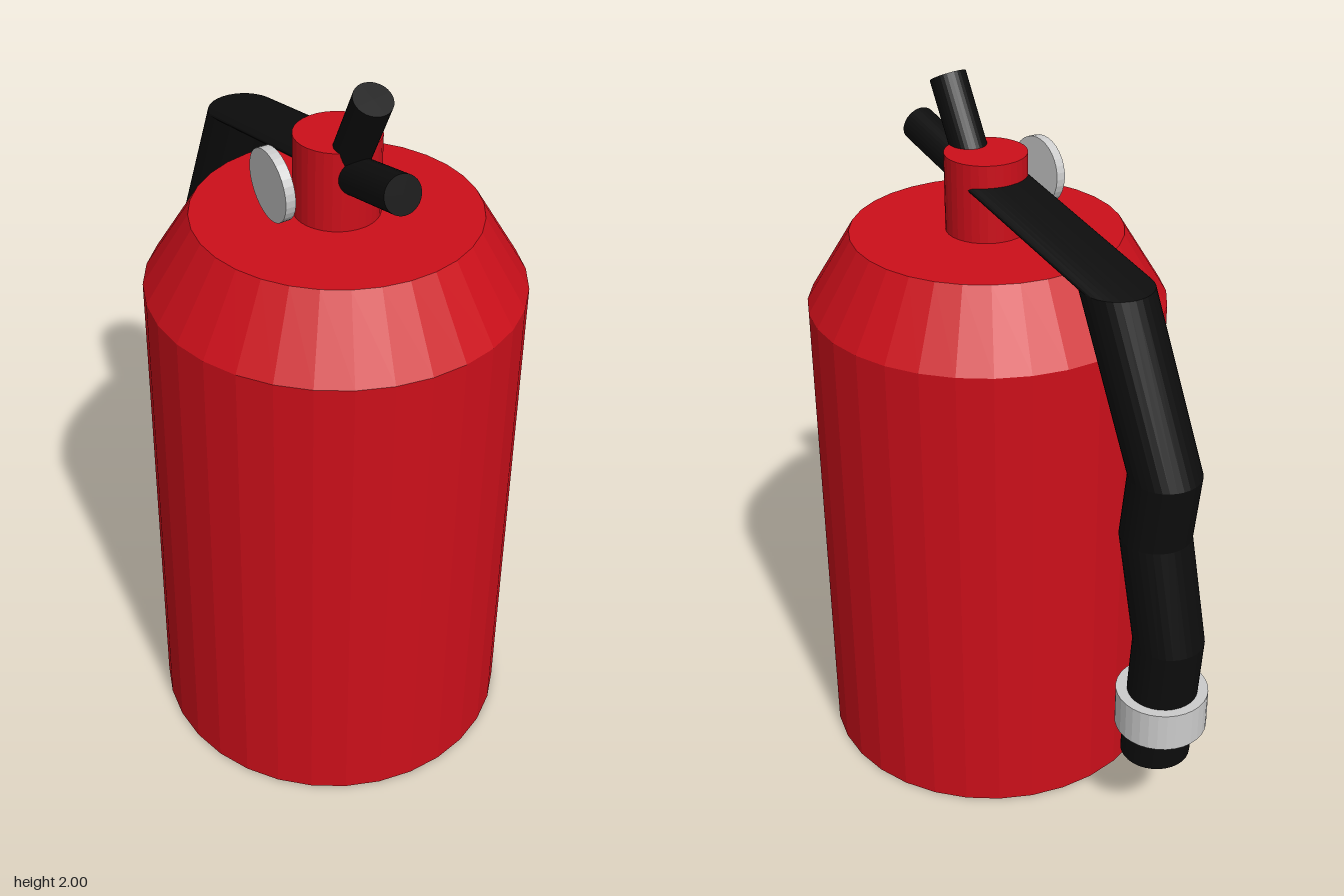
import * as THREE from 'three';

const material = (color) => new THREE.MeshStandardMaterial({ color, flatShading: true });

export function createModel() {
  const group = new THREE.Group();
  const red = material(0xcc0f1a);
  const black = material(0x0d0d0d);
  const grey = material(0xcccccc);
  const axisZ = 0.19; // the tank stands forward of the hose

  const add = (name, geometry, mat, x = 0, y = 0, z = 0) => {
    const mesh = new THREE.Mesh(geometry, mat);
    mesh.name = name;
    mesh.position.set(x, y, z);
    group.add(mesh);
    return mesh;
  };

  // Tank with a tapered shoulder and flat ends
  const profile = [[0, 0], [0.496, 0], [0.496, 1.4], [0.373, 1.6], [0, 1.6]]
    .map(([r, y]) => new THREE.Vector2(r, y));
  add('tank', new THREE.LatheGeometry(profile, 32), red, 0, 0, axisZ);

  // Valve on top of the tank
  add('valve', new THREE.CylinderGeometry(0.112, 0.112, 0.225, 32), red, 0, 1.7025, axisZ);

  // Round bars running from inside the valve to their free ends
  const bar = (name, from, to) => {
    const a = new THREE.Vector3(...from);
    const b = new THREE.Vector3(...to);
    const dir = b.clone().sub(a);
    const mesh = add(name, new THREE.CylinderGeometry(0.05, 0.05, dir.length(), 32), black);
    mesh.position.copy(a).lerp(b, 0.5);
    mesh.quaternion.setFromUnitVectors(new THREE.Vector3(0, 1, 0), dir.normalize());
  };
  bar('upperLever', [0, 1.70, 0.213], [0, 1.977, 0.36]);
  bar('lowerLever', [0, 1.725, 0.22], [0, 1.803, 0.51]);

  // Pressure gauge disc beside the valve, slightly tilted
  const gauge = add('gauge', new THREE.CylinderGeometry(0.095, 0.095, 0.027, 32).rotateZ(Math.PI / 2),
    grey, -0.181, 1.72, 0.197);
  gauge.rotation.set(0, 0.03, 0.055);

  // Hose: a cylinder whose level rings are shifted along a bent path
  const path = [
    [0, 1.756, 0.18], [0, 1.63, -0.36], [-0.027, 1.165, -0.54],
    [-0.025, 0.973, -0.517], [-0.031, 0.668, -0.581], [-0.035, 0.265, -0.544],
  ];
  const rows = path.length - 1;
  const hose = new THREE.CylinderGeometry(0.097, 0.097, rows, 32, rows);
  const p = hose.attributes.position;
  for (let i = 0; i < p.count; i++) {
    const [x, y, z] = path[Math.round(rows / 2 - p.getY(i))];
    p.setXYZ(i, p.getX(i) + x, y, p.getZ(i) + z);
  }
  hose.computeVertexNormals();
  add('hose', hose, black);

  // Collar near the nozzle end
  add('hoseCollar', new THREE.CylinderGeometry(0.127, 0.127, 0.115, 32), grey, -0.034, 0.432, -0.562);

  return group;
}
